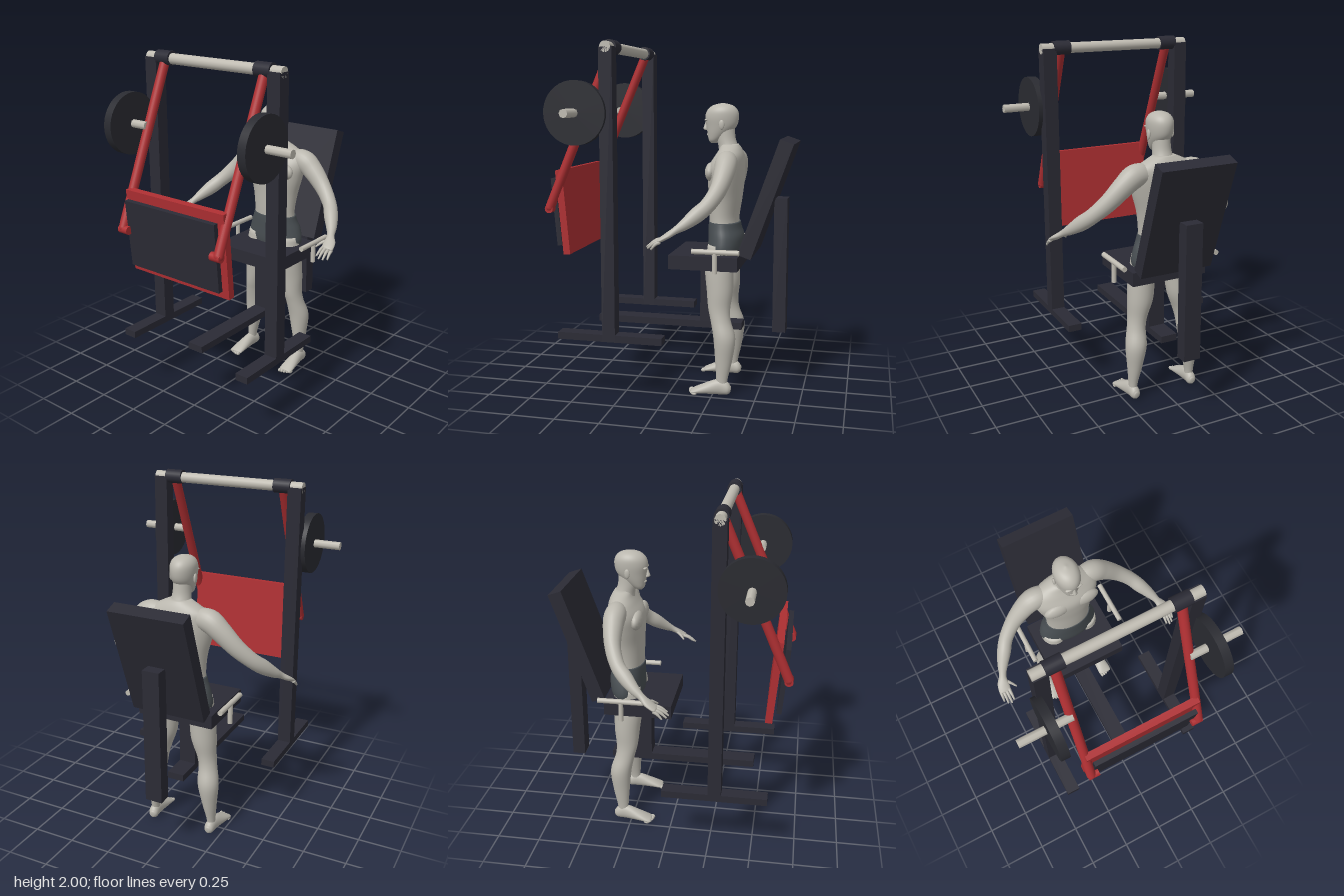
import * as THREE from 'three';

const paint = (name, color) => {
  const m = new THREE.MeshStandardMaterial({ color });
  m.name = name;
  return m;
};
const V = (x, y, z) => new THREE.Vector3(x, y, z);

// Smooth body from rows [x, y, z, halfWidth, halfDepth]; flat keeps every ring level (rows then rise in y).
function loft(rows, { s = 1, flat = false, steps = 5, sides = 24 } = {}) {
  const path = new THREE.CatmullRomCurve3(rows.map(r => V(r[0] * s, r[1], r[2])), false, 'catmullrom');
  const size = new THREE.CatmullRomCurve3(rows.map(r => V(r[3], r[4], 0)), false, 'catmullrom');
  const n = (rows.length - 1) * steps;
  const pos = [], idx = [];
  for (let k = -1; k <= n + 1; k++) {
    const t = Math.min(Math.max(k / n, 0), 1);
    const c = path.getPoint(t), r = size.getPoint(t);
    const closed = k < 0 || k > n;
    const dir = flat ? V(0, 1, 0) : path.getTangent(t);
    const u = flat ? V(-1, 0, 0) : dir.clone().cross(V(0, 1, 0)).normalize();
    const v = dir.clone().cross(u);
    for (let j = 0; j < sides; j++) {
      const a = (j / sides) * Math.PI * 2;
      const p = c.clone();
      if (!closed) {
        p.addScaledVector(u, Math.cos(a) * Math.max(r.x, 0.001));
        p.addScaledVector(v, Math.sin(a) * Math.max(r.y, 0.001));
      }
      pos.push(p.x, p.y, p.z);
    }
  }
  for (let i = 0; i < n + 2; i++) {
    for (let j = 0; j < sides; j++) {
      const a = i * sides + j, b = i * sides + ((j + 1) % sides);
      idx.push(a, b, b + sides, a, b + sides, a + sides);
    }
  }
  const g = new THREE.BufferGeometry();
  g.setAttribute('position', new THREE.Float32BufferAttribute(pos, 3));
  g.setIndex(idx);
  g.computeVertexNormals();
  return g;
}

export function createModel() {
  const model = new THREE.Group();
  const frame = paint('dark frame', 0x2b2b35);
  const plate = paint('dark plate', 0x2a2b31);
  const red = paint('red steel', 0xae2f32);
  const steel = paint('bare steel', 0xbfbbb1);
  const skin = paint('grey skin', 0xbab7ae);
  const cloth = paint('slate cloth', 0x484e52);

  const add = (name, geo, mat, parent = model) => {
    const m = new THREE.Mesh(geo, mat);
    m.name = name;
    parent.add(m);
    return m;
  };
  // Box from its ranges along each axis
  const box = (name, mat, [x0, x1], [y0, y1], [z0, z1]) =>
    add(name, new THREE.BoxGeometry(x1 - x0, y1 - y0, z1 - z0), mat)
      .position.set((x0 + x1) / 2, (y0 + y1) / 2, (z0 + z1) / 2);
  // Box tilted about the x axis
  const slab = (name, mat, size, y, z, tilt) => {
    const m = add(name, new THREE.BoxGeometry(...size), mat);
    m.position.set(0, y, z);
    m.rotation.x = tilt;
  };
  // Round bar between two points
  const rod = (name, mat, a, b, r, sides = 24) => {
    const d = b.clone().sub(a);
    const m = add(name, new THREE.CylinderGeometry(r, r, d.length(), sides), mat);
    m.position.copy(a).addScaledVector(d, 0.5);
    m.quaternion.setFromUnitVectors(V(0, 1, 0), d.normalize());
  };
  const ball = (name, mat, parent, [x, y, z], [rx, ry, rz]) => {
    const m = add(name, new THREE.SphereGeometry(1, 16, 12), mat, parent);
    m.position.set(x, y, z);
    m.scale.set(rx, ry, rz);
  };

  // Seat, backrest and their supports
  box('centreRail', frame, [-0.05, 0.05], [0.35, 0.39], [-0.39, 0.48]);
  box('seatPost', frame, [-0.05, 0.05], [0.38, 0.74], [-0.24, -0.145]);
  box('seat', frame, [-0.23, 0.23], [0.73, 0.81], [-0.39, 0.005]);
  box('backPost', frame, [-0.05, 0.05], [0.35, 1.13], [-0.645, -0.57]);
  slab('backrest', frame, [0.44, 0.68, 0.08], 1.135, -0.538, -0.34);

  // Swinging panel with its pad
  slab('footPanel', red, [0.69, 0.48, 0.04], 1.05, 0.588, 0.087);
  slab('panelPad', frame, [0.63, 0.385, 0.028], 1.048, 0.637, 0.087);

  // Overhead shaft
  rod('topBar', steel, V(-0.46, 1.958, 0.288), V(0.46, 1.958, 0.288), 0.03);

  for (const s of [1, -1]) {
    // Side frame
    const xr = s > 0 ? [0.38, 0.46] : [-0.46, -0.38];
    box('upright', frame, xr, [0.35, 1.96], [0.25, 0.325]);
    box('baseFoot', frame, xr, [0.35, 0.39], [-0.015, 0.585]);
    rod('collar', frame, V(s * 0.29, 1.96, 0.288), V(s * 0.39, 1.96, 0.288), 0.04);
    // Swing arm and inward peg
    rod('swingArm', red, V(s * 0.34, 1.95, 0.29), V(s * 0.34, 1.08, 0.663), 0.027);
    ball('armEnd', red, model, [s * 0.34, 1.078, 0.663], [0.027, 0.027, 0.027]);
    rod('armPeg', red, V(s * 0.36, 1.07, 0.665), V(s * 0.295, 1.07, 0.665), 0.024);
    // Weight on its sleeve
    rod('weightSleeve', steel, V(s * 0.335, 1.61, 0.458), V(s * 0.638, 1.61, 0.458), 0.024, 8);
    rod('weightPlate', plate, V(s * 0.435, 1.61, 0.458), V(s * 0.485, 1.61, 0.458), 0.174, 40);
    // Hand grip beside the seat
    rod('gripBar', steel, V(s * 0.29, 0.85, -0.145), V(s * 0.29, 0.85, -0.41), 0.015);
    rod('gripPost', steel, V(s * 0.29, 0.73, -0.275), V(s * 0.29, 0.85, -0.275), 0.014);
  }

  // Standing figure
  const man = new THREE.Group();
  man.name = 'figure';
  model.add(man);
  add('shorts', loft([
    [0, 0.77, -0.285, 0.165, 0.085], [0, 0.83, -0.288, 0.185, 0.1], [0, 0.9, -0.29, 0.172, 0.103],
    [0, 0.95, -0.282, 0.152, 0.095], [0, 0.985, -0.279, 0.141, 0.09],
  ], { flat: true }), cloth, man);
  add('torso', loft([
    [0, 0.95, -0.28, 0.138, 0.085], [0, 1.02, -0.277, 0.136, 0.086], [0, 1.12, -0.283, 0.15, 0.095],
    [0, 1.22, -0.286, 0.178, 0.103], [0, 1.3, -0.29, 0.195, 0.103], [0, 1.36, -0.305, 0.185, 0.083],
    [0, 1.4, -0.31, 0.125, 0.064], [0, 1.43, -0.305, 0.06, 0.05],
  ], { flat: true, sides: 36 }), skin, man);
  add('neck', loft([
    [0, 1.36, -0.305, 0.085, 0.065], [0, 1.41, -0.298, 0.06, 0.058],
    [0, 1.46, -0.283, 0.051, 0.055], [0, 1.53, -0.275, 0.048, 0.055],
  ], { flat: true }), skin, man);
  add('head', loft([
    [0, 1.434, -0.212, 0.016, 0.016], [0, 1.45, -0.218, 0.036, 0.036], [0, 1.485, -0.237, 0.052, 0.062],
    [0, 1.53, -0.255, 0.064, 0.087], [0, 1.58, -0.258, 0.071, 0.097], [0, 1.62, -0.26, 0.067, 0.088],
    [0, 1.648, -0.262, 0.045, 0.058], [0, 1.662, -0.263, 0.005, 0.005],
  ], { flat: true, sides: 32 }), skin, man);
  add('nose', loft([
    [0, 1.508, -0.168, 0.012, 0.012], [0, 1.517, -0.163, 0.014, 0.014],
    [0, 1.54, -0.166, 0.008, 0.01], [0, 1.565, -0.172, 0.006, 0.008],
  ], { flat: true, sides: 12 }), skin, man);
  ball('mouth', skin, man, [0, 1.482, -0.18], [0.022, 0.008, 0.01]);

  for (const s of [1, -1]) {
    ball('ear', skin, man, [s * 0.073, 1.54, -0.268], [0.008, 0.028, 0.016]);
    ball('brow', skin, man, [s * 0.028, 1.566, -0.173], [0.022, 0.006, 0.011]);
    ball('chest', skin, man, [s * 0.085, 1.275, -0.215], [0.085, 0.055, 0.035]);
    // Leg and foot
    add('leg', loft([
      [0.188, 0.03, -0.3, 0.025, 0.032], [0.187, 0.09, -0.302, 0.025, 0.033], [0.18, 0.2, -0.31, 0.042, 0.049],
      [0.172, 0.33, -0.312, 0.061, 0.063], [0.158, 0.43, -0.287, 0.053, 0.058], [0.145, 0.5, -0.276, 0.056, 0.064],
      [0.127, 0.6, -0.276, 0.073, 0.076], [0.116, 0.73, -0.27, 0.076, 0.083], [0.1, 0.86, -0.28, 0.075, 0.08],
    ], { s, flat: true }), skin, man);
    add('foot', loft([
      [0.186, 0.034, -0.354, 0.014, 0.016], [0.187, 0.036, -0.335, 0.028, 0.034], [0.19, 0.046, -0.285, 0.03, 0.045],
      [0.195, 0.03, -0.2, 0.04, 0.029], [0.198, 0.017, -0.145, 0.043, 0.016], [0.198, 0.012, -0.125, 0.038, 0.01],
    ], { s }), skin, man);
    for (let i = 0; i < 5; i++) {
      const r = 0.012 - i * 0.0011;
      ball('toe', skin, man, [s * (0.168 + i * 0.0165), r, -0.122 - i * i * 0.0016], [r * 0.85, r, 0.016]);
    }
    // Arm with palm
    add('arm', loft([
      [0.1, 1.335, -0.312, 0.05, 0.055], [0.18, 1.332, -0.316, 0.062, 0.066], [0.245, 1.285, -0.316, 0.057, 0.06],
      [0.33, 1.2, -0.3, 0.045, 0.05], [0.405, 1.125, -0.258, 0.04, 0.043], [0.45, 1.075, -0.205, 0.04, 0.042],
      [0.49, 1.03, -0.15, 0.03, 0.03], [0.515, 1.0, -0.105, 0.021, 0.019], [0.532, 0.975, -0.068, 0.033, 0.016],
      [0.54, 0.955, -0.035, 0.035, 0.013], [0.542, 0.948, -0.022, 0.03, 0.009],
    ], { s }), skin, man);
    // Fingers and thumb: base, tip
    const digits = [
      [[0.515, 0.957, -0.035], [0.514, 0.923, 0.034]],
      [[0.532, 0.953, -0.03], [0.533, 0.912, 0.044]],
      [[0.549, 0.948, -0.03], [0.553, 0.907, 0.034]],
      [[0.565, 0.945, -0.036], [0.57, 0.905, 0.012]],
      [[0.515, 0.98, -0.078], [0.468, 0.948, -0.026]],
    ];
    for (const [a, b] of digits) {
      const mid = a.map((v, i) => (v + b[i]) / 2 + (i === 1 ? 0.006 : 0));
      add('finger', loft([[...a, 0.01, 0.01], [...mid, 0.0085, 0.0085], [...b, 0.005, 0.005]],
        { s, sides: 10, steps: 4 }), skin, man);
    }
  }
  return model;
}
